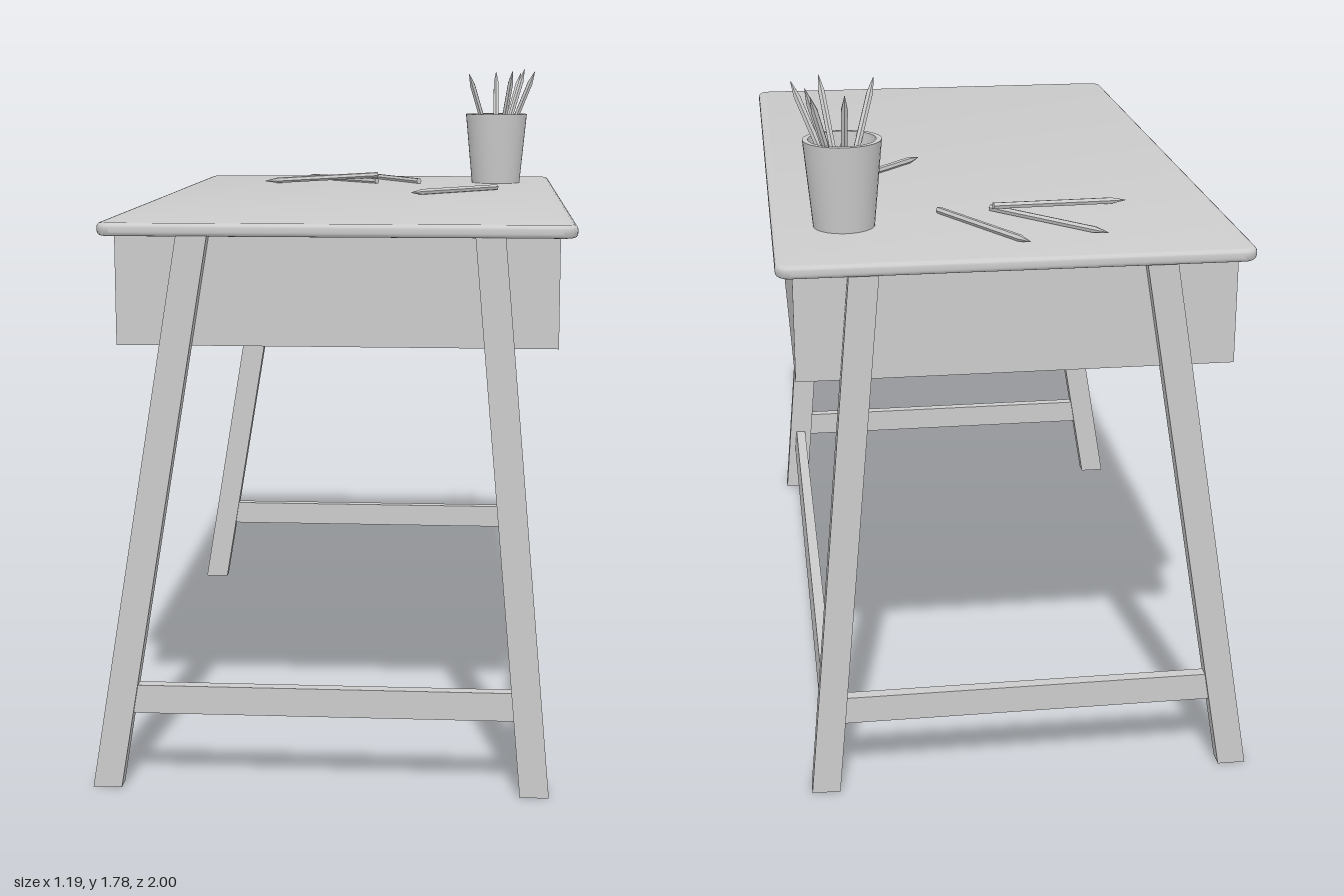
import * as THREE from 'three';
import { mergeGeometries, toCreasedNormals } from 'three/addons/utils/BufferGeometryUtils.js';

const material = new THREE.MeshStandardMaterial({ color: 0xcccccc });

export function createModel() {
  const desk = new THREE.Group();
  desk.name = 'desk';

  const add = (name, geometry, parent = desk) => {
    const mesh = new THREE.Mesh(geometry, material);
    mesh.name = name;
    parent.add(mesh);
    return mesh;
  };

  const box = (name, x0, x1, y0, y1, z0, z1, parent = desk) => {
    const mesh = add(name, new THREE.BoxGeometry(x1 - x0, y1 - y0, z1 - z0), parent);
    mesh.position.set((x0 + x1) / 2, (y0 + y1) / 2, (z0 + z1) / 2);
    return mesh;
  };

  // Flat outline in x and y, extruded along z
  const slab = (name, points, z, depth) => {
    const shape = new THREE.Shape(points.map(([x, y]) => new THREE.Vector2(x, y)));
    const geometry = new THREE.ExtrudeGeometry(shape, { depth, bevelEnabled: false });
    return add(name, geometry.translate(0, 0, z - depth / 2));
  };

  // Tabletop with rounded corners and softened edges
  const bevel = 0.011;
  const [x0, x1, z1, r] = [-0.56 + bevel, 0.592 - bevel, 1 - bevel, 0.025];
  const top = new THREE.Shape();
  top.absarc(x1 - r, z1 - r, r, 0, Math.PI / 2);
  top.absarc(x0 + r, z1 - r, r, Math.PI / 2, Math.PI);
  top.absarc(x0 + r, -z1 + r, r, Math.PI, Math.PI * 1.5);
  top.absarc(x1 - r, -z1 + r, r, Math.PI * 1.5, Math.PI * 2);
  const topGeometry = new THREE.ExtrudeGeometry(top, {
    depth: 0.032 - 2 * bevel, bevelThickness: bevel, bevelSize: bevel, bevelSegments: 4, curveSegments: 8,
  });
  topGeometry.rotateX(-Math.PI / 2).translate(0, 1.388 + bevel, 0);
  add('tabletop', toCreasedNormals(topGeometry, 0.6));

  // Storage compartment, open on the -x side
  const tray = new THREE.Group();
  tray.name = 'compartment';
  desk.add(tray);
  const t = 0.02;
  box('compartmentFloor', -0.52, 0.552, 1.12, 1.12 + t, -0.957, 0.957, tray);
  box('compartmentBack', 0.552 - t, 0.552, 1.12 + t, 1.39, -0.957, 0.957, tray);
  for (const s of [-1, 1]) {
    const z = s * (0.957 - t / 2);
    box('compartmentEnd', -0.52, 0.552 - t, 1.12 + t, 1.39, z - t / 2, z + t / 2, tray);
  }

  // Leaning legs, with a stretcher across each end
  for (const [z, end] of [[0.975, 'front'], [-0.966, 'rear']]) {
    slab(end + 'SplayedLeg', [[-0.595, 0], [-0.523, 0], [-0.29, 1.39], [-0.365, 1.39]], z, 0.043);
    slab(end + 'UprightLeg', [[0.474, 0], [0.546, 0], [0.422, 1.39], [0.35, 1.39]], z, 0.043);
    slab(end + 'Stretcher', [[-0.492, 0.195], [0.458, 0.195], [0.452, 0.267], [-0.48, 0.267]], z, 0.03);
  }

  // Long stretcher, tilted to match the upright legs
  const rail = box('longStretcher', 0.48, 0.51, 0.136, 0.208, -0.946, 0.955);
  rail.rotation.z = 0.09;

  // Pencil cup
  const profile = [[0, 0], [0.077, 0], [0.098, 0.22], [0.084, 0.22], [0.066, 0.015], [0, 0.015]];
  const cup = add('pencilCup', toCreasedNormals(
    new THREE.LatheGeometry(profile.map(([x, y]) => new THREE.Vector2(x, y)), 40), 0.6));
  cup.position.set(0.411, 1.42, -0.662);

  // Hexagonal pencil with a sharpened point, pointing along +y from its base
  const length = 0.365, point = 0.04, radius = 0.009;
  const pencilGeometry = mergeGeometries([
    new THREE.CylinderGeometry(radius, radius, length - point, 6).translate(0, (length - point) / 2, 0),
    new THREE.CylinderGeometry(0.001, radius, point, 6).translate(0, length - point / 2, 0),
  ]);
  const flatPencil = toCreasedNormals(pencilGeometry, 0.3);
  const pencil = (name, base, tip) => {
    const mesh = add(name, flatPencil);
    const from = new THREE.Vector3(...base);
    const direction = new THREE.Vector3(...tip).sub(from).normalize();
    mesh.position.copy(from);
    mesh.quaternion.setFromUnitVectors(new THREE.Vector3(0, 1, 0), direction);
  };

  // Pencils standing in the cup, fanning out from its middle
  const tips = [[0.325, -0.55], [0.41, -0.79], [0.457, -0.55], [0.488, -0.775], [0.525, -0.61], [0.495, -0.73]];
  for (const [x, z] of tips) {
    const dx = x - 0.411, dz = z + 0.662;
    pencil('standingPencil', [0.411 - dx * 0.12, 1.44, -0.662 - dz * 0.12], [x, 1.76, z]);
  }

  // Pencils lying on the tabletop, one resting on another
  const y = 1.428;
  pencil('lyingPencil', [0.03, 1.445, -0.62], [-0.33, 1.428, -0.545]);
  pencil('lyingPencil', [0.03, y, -0.575], [-0.22, y, -0.835]);
  pencil('lyingPencil', [0.165, y, -0.58], [-0.02, y, -0.89]);
  pencil('lyingPencil', [0.41, y, -0.285], [0.16, y, -0.016]);

  return desk;
}
